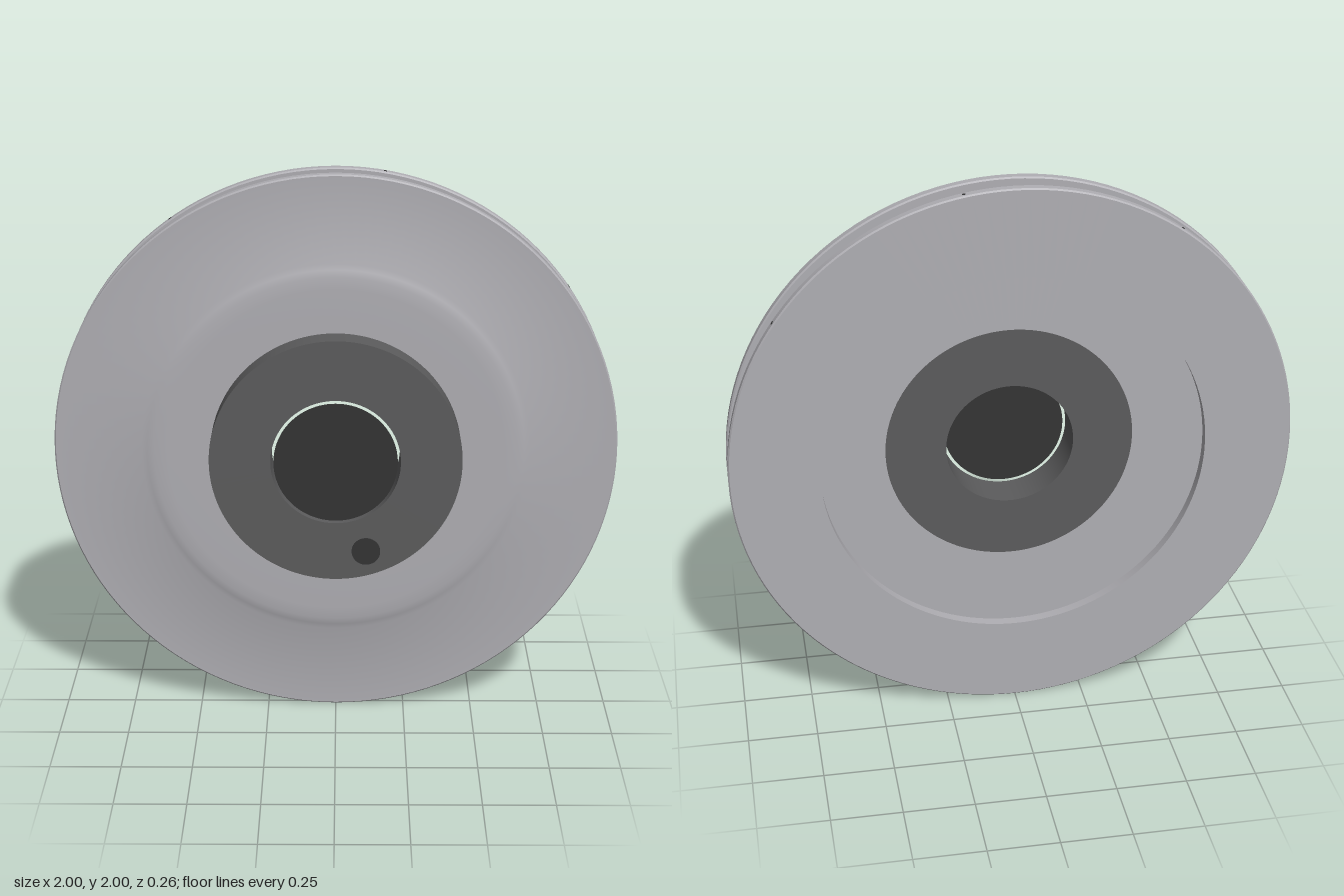
import * as THREE from 'three';
import { toCreasedNormals } from 'three/addons/utils/BufferGeometryUtils.js';

const steel = new THREE.MeshStandardMaterial({ name: 'brushed steel', color: 0xb0afb4 });
const iron = new THREE.MeshStandardMaterial({ name: 'dark iron', color: 0x5c5c5d });
const black = new THREE.MeshStandardMaterial({ name: 'near black', color: 0x343434 });

// Solid of revolution about z from [radius, z] points, counterclockwise
function turned(name, profile, material) {
  const points = profile.map(([r, z]) => new THREE.Vector2(r, z));
  const lathe = new THREE.LatheGeometry(points, 128).rotateX(Math.PI / 2);
  const mesh = new THREE.Mesh(toCreasedNormals(lathe, 0.5), material);
  mesh.name = name;
  return mesh;
}

// Thin round plate facing +z
function roundPlate(name, radius, x, y, zBack, zFront, segments) {
  const geometry = new THREE.CylinderGeometry(radius, radius, zFront - zBack, segments).rotateX(Math.PI / 2);
  const mesh = new THREE.Mesh(geometry, black);
  mesh.name = name;
  mesh.position.set(x, y, (zBack + zFront) / 2);
  return mesh;
}

export function createModel() {
  const model = new THREE.Group();
  model.name = 'brakeDisc';
  const disc = new THREE.Group();
  disc.name = 'discAssembly';
  disc.position.y = 1;
  model.add(disc);

  const bevel = 0.005;

  // Front friction plate with a shallow raised centre
  disc.add(turned('frontPlate', [
    [0.44, -0.016], [1 - bevel, -0.016], [1, -0.016 + bevel], [1, 0.021 - bevel], [1 - bevel, 0.021],
    [0.69, 0.021], [0.67, 0.028], [0.645, 0.033], [0.6, 0.034], [0.44, 0.034],
  ], steel));

  // Rear friction ring, separated by the ventilation gap
  disc.add(turned('rearRing', [
    [0.685, -0.128], [1 - bevel, -0.128], [1, -0.128 + bevel], [1, -0.091 - bevel], [1 - bevel, -0.091],
    [0.685, -0.091], [0.685, -0.128],
  ], steel));

  // Mounting hub with its central bore
  disc.add(turned('hub', [
    [0.229, -0.0165], [0.445, -0.0165], [0.445, 0.127], [0.229, 0.127], [0.229, -0.0165],
  ], iron));

  // Bore cap and locating hole mark
  disc.add(roundPlate('boreCap', 0.218, 0, 0, 0.124, 0.13, 96));
  disc.add(roundPlate('locatingHole', 0.051, 0.108, -0.337, 0.125, 0.13, 40));

  // Eight tiny pins around the rear rim
  for (let i = 0; i < 8; i++) {
    const angle = THREE.MathUtils.degToRad(35.2 + 45 * i);
    const pin = new THREE.Mesh(new THREE.CylinderGeometry(0.006, 0.006, 0.01, 12), black);
    pin.name = 'rimPin' + (i + 1);
    pin.position.set(Math.cos(angle) * 0.996, Math.sin(angle) * 0.996, -0.109);
    pin.rotation.z = angle - Math.PI / 2;
    disc.add(pin);
  }
  return model;
}
